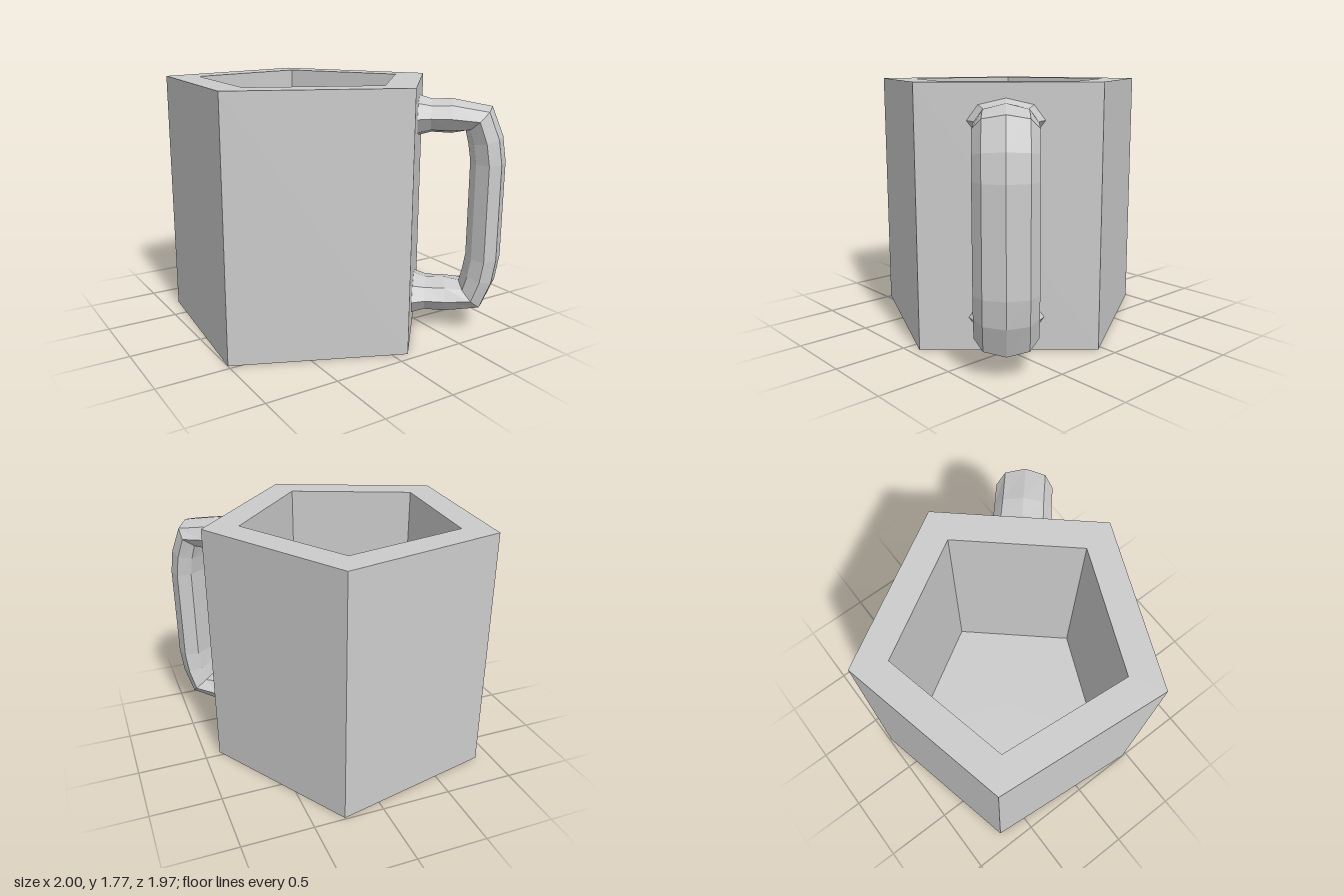
import * as THREE from 'three';

const HEIGHT = 1.77;
const material = () => new THREE.MeshStandardMaterial({ color: 0xcccccc, flatShading: true });

// Five-sided cup: one closed profile for outer wall, rim, inner wall and floor
function createCup() {
  const profile = [[0, 0], [1.018, 0], [1.018, HEIGHT], [0.768, HEIGHT], [0.762, 0.22], [0, 0.22]]
    .map(([r, y]) => new THREE.Vector2(r, y));
  const geometry = new THREE.LatheGeometry(profile, 5, Math.atan2(1.014, 0.094));
  const cup = new THREE.Mesh(geometry, material());
  cup.name = 'cup';
  cup.position.set(-0.124, 0, -0.054);
  return cup;
}

// Flat octagonal handle swept through rings, mirrored about mid height
function createHandle() {
  const SIDES = 8;
  // distance outward, height, tilt from horizontal (degrees), half thickness, half width
  const upper = [
    [0.66, 1.53, 0, 0.14, 0.25],
    [0.695, 1.53, 0, 0.14, 0.25],
    [0.783, 1.53, 0, 0.115, 0.205],
    [0.92, 1.53, 0, 0.12, 0.2],
    [1.105, 1.515, 45, 0.122, 0.2],
    [1.157, 1.37, 76, 0.12, 0.2],
    [1.18, 1.22, 90, 0.12, 0.2],
  ];
  const mid = 0.88;
  const lower = upper.map(([a, y, tilt, h, w]) => [a, 2 * mid - y, 180 - tilt, h, w]).reverse();
  const rings = [...upper, ...lower];

  const out = new THREE.Vector3(0.751, 0, 0.66);
  const side = new THREE.Vector3(0.66, 0, -0.751);
  const positions = [];
  const index = [];
  rings.forEach(([a, y, tilt, h, w], i) => {
    const angle = THREE.MathUtils.degToRad(tilt);
    for (let j = 0; j < SIDES; j++) {
      const k = (j / SIDES) * Math.PI * 2;
      const n = h * Math.cos(k);
      const p = out.clone().multiplyScalar(a + n * Math.sin(angle))
        .addScaledVector(side, -0.058 + w * Math.sin(k));
      positions.push(p.x, y + n * Math.cos(angle), p.z);
      if (i < rings.length - 1) {
        const p0 = i * SIDES + j;
        const p1 = i * SIDES + (j + 1) % SIDES;
        index.push(p0, p0 + SIDES, p1, p1, p0 + SIDES, p1 + SIDES);
      }
    }
  });
  const geometry = new THREE.BufferGeometry();
  geometry.setAttribute('position', new THREE.Float32BufferAttribute(positions, 3));
  geometry.setIndex(index);
  geometry.computeVertexNormals();
  const handle = new THREE.Mesh(geometry, material());
  handle.name = 'handle';
  return handle;
}

export function createModel() {
  const mug = new THREE.Group();
  mug.name = 'mug';
  mug.add(createCup(), createHandle());
  return mug;
}
